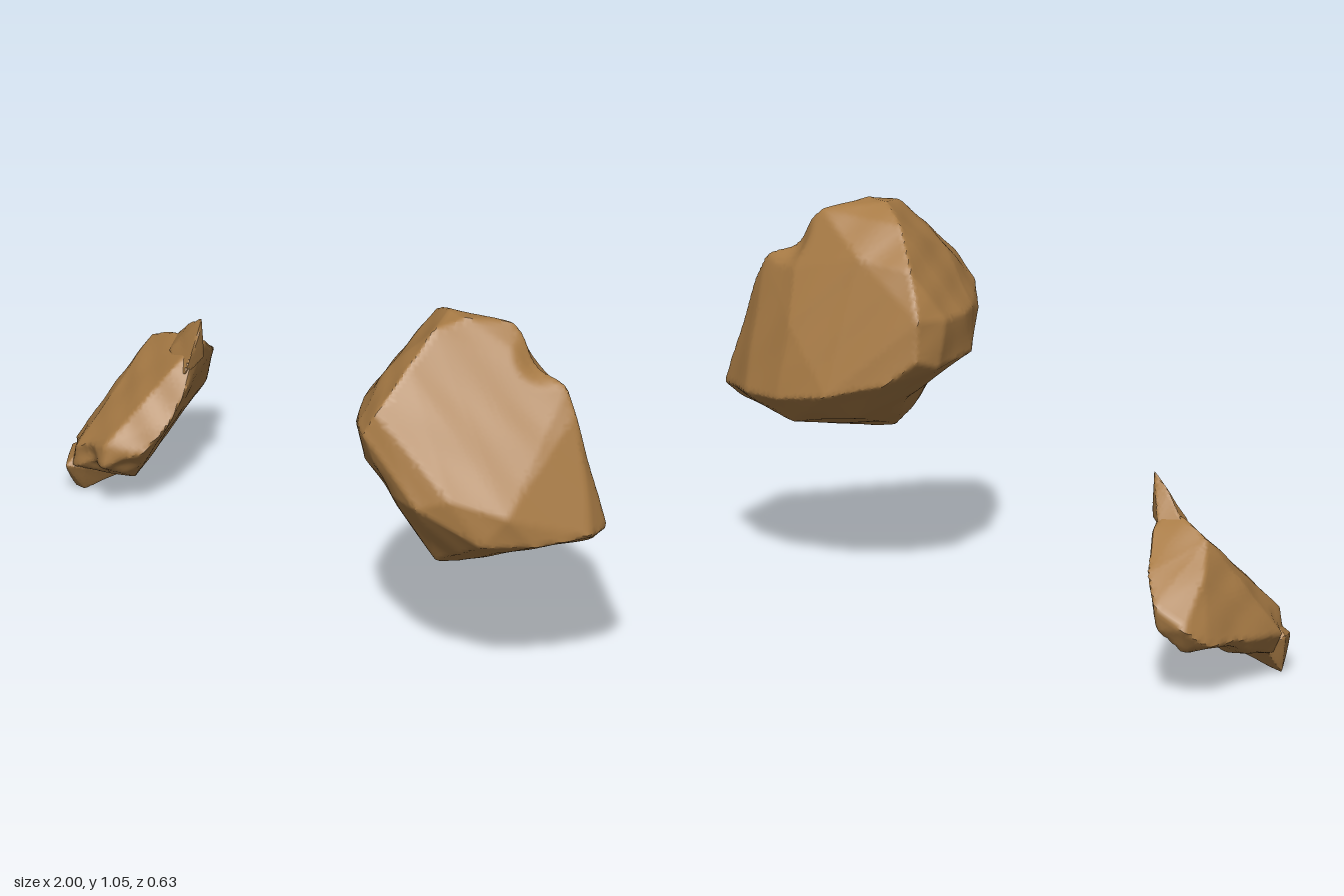
import * as THREE from 'three';
import { mergeVertices, toCreasedNormals } from 'three/addons/utils/BufferGeometryUtils.js';
import { ConvexGeometry } from 'three/addons/geometries/ConvexGeometry.js';

const stone = new THREE.MeshStandardMaterial({ color: 0xa87b45 });
const V = (p) => new THREE.Vector3(...p);

// Wraps a fine ball onto the hull of the corner points, then adds dents and slight roughness.
// A dent is [x, y, z, radius, depth].
function rock(name, corners, center, dents, detail, rough) {
  const c = V(center);
  const hull = new ConvexGeometry(corners.map((p) => V(p).sub(c))).attributes.position;
  const planes = [];
  for (let i = 0; i < hull.count; i += 3) {
    const [a, b, d] = [0, 1, 2].map((k) => new THREE.Vector3().fromBufferAttribute(hull, i + k));
    const n = b.clone().sub(a).cross(d.sub(a)).normalize();
    planes.push({ n, d: n.dot(a) });
  }
  let geo = new THREE.IcosahedronGeometry(1, detail);
  geo.deleteAttribute('normal');
  geo.deleteAttribute('uv');
  geo = mergeVertices(geo, 1e-4);
  const pos = geo.attributes.position;
  const u = new THREE.Vector3();
  for (let i = 0; i < pos.count; i++) {
    u.fromBufferAttribute(pos, i).normalize();
    let r = Infinity;
    for (const { n, d } of planes) {
      const k = n.dot(u);
      if (k > 1e-6) r = Math.min(r, d / k);
    }
    const p = u.clone().multiplyScalar(r).add(c);
    for (const [x, y, z, radius, depth] of dents) {
      const t = Math.hypot(p.x - x, p.y - y, p.z - z) / radius;
      if (t < 1) r -= depth * (1 - t * t) ** 2;
    }
    r += rough * Math.sin(31 * p.x + 17 * p.y) * Math.sin(27 * p.z - 23 * p.y + 1);
    p.copy(u).multiplyScalar(r).add(c);
    pos.setXYZ(i, p.x, p.y, p.z);
  }
  const mesh = new THREE.Mesh(toCreasedNormals(geo, 0.8), stone);
  mesh.name = name;
  return mesh;
}

export function createModel() {
  const group = new THREE.Group();
  group.name = 'rocks';

  // Large boulder with one broad, slightly bulging side
  group.add(rock('largeRock', [
    // top and the ridge running down the front
    [0.45, 1.0, -0.05], [0.55, 1.047, -0.02], [0.62, 1.047, -0.02], [0.6, 1.025, 0.07],
    [0.68, 1.02, -0.14], [0.61, 0.95, 0.165], [0.62, 0.84, 0.285], [0.6, 0.78, 0.315],
    [0.5, 0.9, 0.15],
    // broad side
    [0.84, 0.865, -0.2], [0.88, 0.8, -0.2], [0.935, 0.66, -0.19], [1.003, 0.49, -0.16],
    [0.96, 0.49, 0.0], [0.89, 0.5, 0.13], [0.76, 0.6, 0.255], [0.65, 0.6, 0.26],
    [0.93, 0.58, 0.07], [0.83, 0.63, 0.19],
    // underside
    [0.95, 0.455, -0.2], [0.78, 0.4, -0.05], [0.7, 0.37, 0.07], [0.68, 0.38, 0.125],
    [0.64, 0.383, 0.09], [0.5, 0.475, 0.0], [0.5, 0.475, -0.17], [0.68, 0.44, -0.24],
    // left end and front crest
    [0.28, 0.64, -0.06], [0.28, 0.67, -0.14], [0.285, 0.78, -0.13], [0.285, 0.77, -0.03],
    [0.35, 0.9, -0.1], [0.33, 0.76, 0.07], [0.38, 0.76, 0.145], [0.53, 0.78, 0.28],
    [0.36, 0.64, 0.125], [0.44, 0.73, 0.215], [0.5, 0.65, 0.235],
    // back
    [0.35, 0.6, -0.195], [0.5, 0.55, -0.28], [0.66, 0.52, -0.315], [0.8, 0.51, -0.31],
    [0.97, 0.49, -0.235], [0.66, 0.72, -0.27], [0.5, 0.92, -0.16], [0.7, 0.86, -0.22],
  ], [0.62, 0.68, -0.03], [
    [0.48, 0.55, 0.09, 0.16, 0.03],
    [0.77, 0.94, -0.18, 0.1, 0.03],
    [0.6, 0.62, 0.24, 0.1, 0.012],
  ], 38, 0.0025));

  // Small leaning, flattened rock
  const small = new THREE.Group();
  small.name = 'smallRock';
  small.add(rock('smallRockBody', [
    // upper edge
    [-0.93, 0.32, -0.14], [-0.87, 0.405, -0.08], [-0.78, 0.44, -0.08], [-0.71, 0.46, -0.08],
    [-0.65, 0.46, -0.05], [-0.73, 0.41, -0.16], [-0.82, 0.33, -0.25],
    // right edge
    [-0.61, 0.36, 0.0], [-0.602, 0.28, 0.06], [-0.625, 0.2, 0.135], [-0.7, 0.15, 0.215],
    [-0.71, 0.083, 0.1],
    // front lower edge
    [-0.71, 0.21, 0.205], [-0.83, 0.05, 0.08], [-0.86, 0.09, 0.2], [-0.84, 0.16, 0.2],
    [-0.95, 0.12, 0.12], [-0.92, 0.06, 0.11],
    // back end
    [-1.002, 0.15, -0.19], [-0.985, 0.2, -0.26], [-0.9, 0.26, -0.297], [-0.9, 0.19, -0.285],
    [-0.94, 0.13, -0.23], [-0.84, 0.13, -0.12], [-0.97, 0.15, -0.04],
  ], [-0.8, 0.25, -0.02], [
    [-0.78, 0.13, 0.21, 0.07, 0.025],
    [-0.66, 0.14, 0.17, 0.06, 0.015],
    [-0.92, 0.15, 0.16, 0.06, 0.015],
    [-0.9, 0.1, -0.1, 0.12, 0.03],
  ], 28, 0.003));

  // Splinter on the top corner, spreading into the upper edge
  small.add(rock('topSplinter', [
    [-0.628, 0.548, -0.065], [-0.62, 0.5, -0.045], [-0.69, 0.508, -0.07], [-0.74, 0.465, -0.08],
    [-0.78, 0.43, -0.09], [-0.72, 0.42, -0.13], [-0.64, 0.42, -0.08], [-0.63, 0.38, 0.0],
    [-0.73, 0.42, -0.03],
  ], [-0.68, 0.45, -0.06], [], 14, 0.002));

  // Pointed foot at the lower front corner
  small.add(rock('footNub', [
    [-0.91, 0.0, 0.15], [-0.87, 0.005, 0.15], [-0.8, 0.06, 0.07], [-0.92, 0.08, 0.08],
    [-0.87, 0.09, 0.215], [-0.83, 0.09, 0.18], [-0.94, 0.11, 0.14], [-0.86, 0.16, 0.14],
  ], [-0.88, 0.07, 0.14], [], 14, 0.002));
  group.add(small);

  return group;
}
